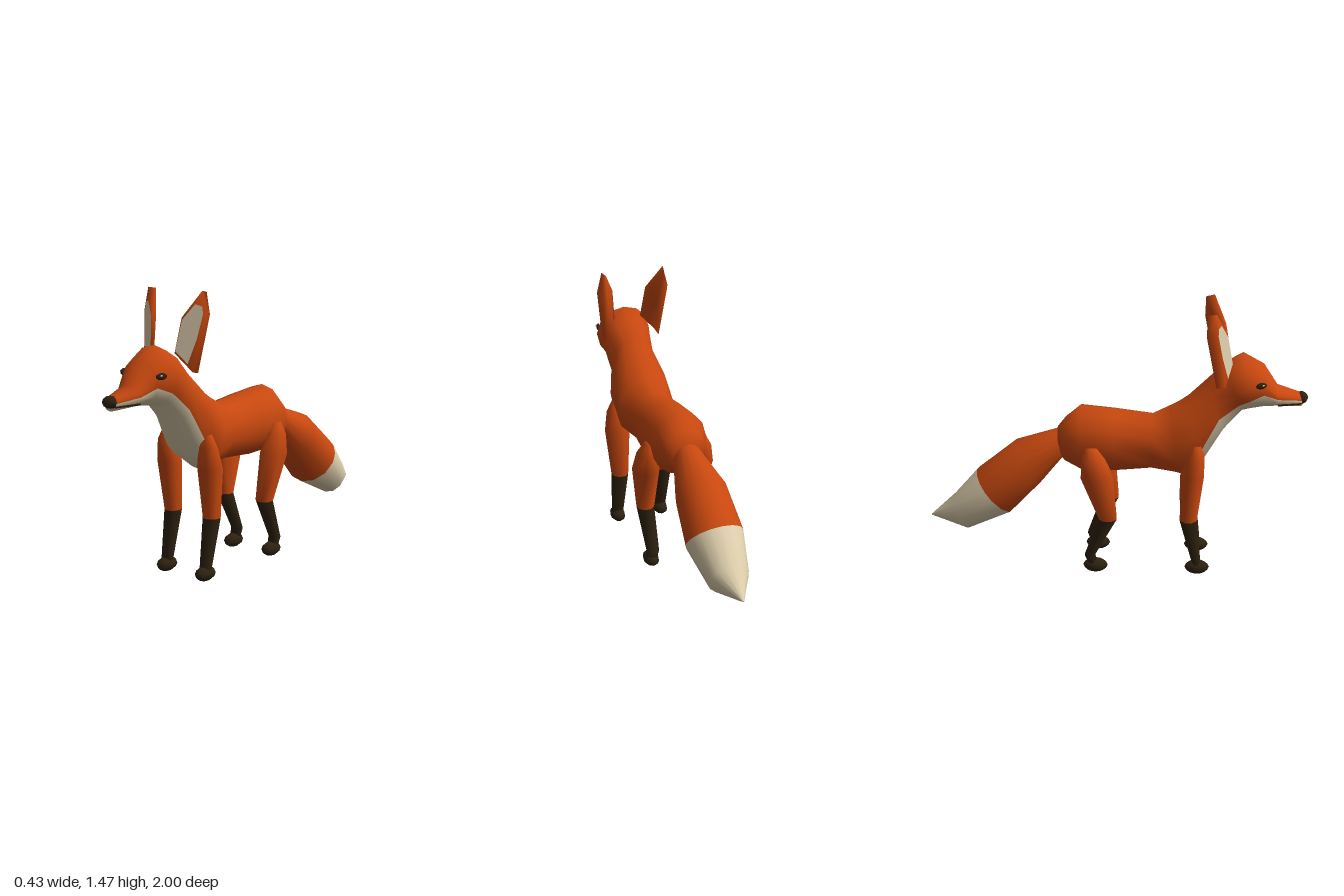
import * as THREE from 'three';

const orange = new THREE.MeshStandardMaterial({ color: 0xc8480f, name: 'orange fur' });
const cream = new THREE.MeshStandardMaterial({ color: 0xdccdab, name: 'cream fur' });
const dark = new THREE.MeshStandardMaterial({ color: 0x2e2210, name: 'dark brown' });
const RAD = Math.PI / 180;

// Skins a list of closed rings; pick(segment, side) returns 0 or 1 for the material
function loft(rings, pick = () => 0) {
  const n = rings[0].length, last = rings.length - 1;
  const pos = rings.flat().flatMap(p => p.toArray());
  const sets = [[], []];
  for (let i = 0; i < last; i++) {
    for (let j = 0; j < n; j++) {
      const k = (j + 1) % n;
      const a = i * n + j, b = i * n + k, c = a + n, d = b + n;
      sets[pick(i, j)].push(a, b, d, a, d, c);
    }
  }
  // end caps
  [0, last].forEach((r, e) => {
    const mid = new THREE.Vector3();
    rings[r].forEach(p => mid.addScaledVector(p, 1 / n));
    const c = pos.length / 3;
    pos.push(...mid.toArray());
    for (let j = 0; j < n; j++) {
      const a = r * n + j, b = r * n + (j + 1) % n;
      sets[pick(e ? last - 1 : 0, j)].push(...(e ? [c, a, b] : [c, b, a]));
    }
  });
  const g = new THREE.BufferGeometry();
  g.setAttribute('position', new THREE.Float32BufferAttribute(pos, 3));
  g.setIndex([...sets[0], ...sets[1]]);
  g.addGroup(0, sets[0].length, 0);
  g.addGroup(sets[0].length, sets[1].length, 1);
  g.computeVertexNormals();
  return g;
}

// Ring whose lower 6 sides end at the split angle, the other 8 lie above it
function spineRing([tz, ty, bz, by, rx, split = -25]) {
  const half = [];
  for (let k = 0; k <= 3; k++) half.push(-90 + (split + 90) * k / 3);
  for (let k = 1; k <= 4; k++) half.push(split + (90 - split) * k / 4);
  const angles = [...half, ...half.slice(1, -1).reverse().map(a => 180 - a)];
  return angles.map(a => {
    const c = Math.cos(a * RAD), s = Math.sin(a * RAD);
    return new THREE.Vector3(rx * c, (ty + by) / 2 + s * (ty - by) / 2, (tz + bz) / 2 + s * (tz - bz) / 2);
  });
}

// Horizontal 8-sided ring for the legs
function legRing([x, y, z, rx, rz]) {
  return Array.from({ length: 8 }, (_, j) => {
    const a = (j + 0.5) * Math.PI / 4;
    return new THREE.Vector3(x + rx * 1.05 * Math.cos(a), y, z - rz * 1.05 * Math.sin(a));
  });
}

function mirrored(geometry) {
  const g = geometry.clone().scale(-1, 1, 1);
  const idx = g.index.array;
  for (let i = 0; i < idx.length; i += 3) [idx[i], idx[i + 1]] = [idx[i + 1], idx[i]];
  return g;
}

function ellipsoid(rx, ry, rz, x, y, z, turn = 0) {
  return new THREE.SphereGeometry(1, 8, 6).scale(rx, ry, rz).rotateY(turn).translate(x, y, z);
}

export function createModel() {
  const model = new THREE.Group();
  model.name = 'fox';
  const add = (name, geometry, material) => {
    const mesh = new THREE.Mesh(geometry, material);
    mesh.name = name;
    model.add(mesh);
  };
  const addPair = (name, geometry, material) => {
    add('left' + name, geometry, material);
    add('right' + name, mirrored(geometry), material);
  };

  // Body, neck and head: top z, y; bottom z, y; half width; edge angle of the bib
  const spine = [
    [-0.30, 0.79, -0.29, 0.64, 0.07],
    [-0.26, 0.84, -0.265, 0.605, 0.11],
    [-0.18, 0.91, -0.18, 0.56, 0.15],
    [0.00, 0.89, 0.00, 0.555, 0.156],
    [0.20, 0.87, 0.20, 0.57, 0.132, -50],
    [0.29, 0.92, 0.35, 0.545, 0.16, -70],
    [0.38, 0.97, 0.47, 0.63, 0.165, -30],
    [0.48, 1.07, 0.57, 0.80, 0.125, -20],
    [0.57, 1.16, 0.66, 0.91, 0.14, -32],
    [0.66, 1.21, 0.69, 0.92, 0.155, -30],
    [0.77, 1.15, 0.76, 0.93, 0.115, -8],
    [0.84, 1.04, 0.84, 0.935, 0.078, 0],
    [0.965, 1.0, 0.965, 0.93, 0.042, 10],
  ];
  const isBib = (i, j) => (i >= 5 && (j < 3 || j >= 11) ? 1 : 0);
  add('body', loft(spine.map(spineRing), isBib), [orange, cream]);

  // Tail, from the tip to the rump
  const tail = [
    [-1.0, 0.258, -0.998, 0.252, 0.004],
    [-0.87, 0.38, -0.79, 0.19, 0.105],
    [-0.74, 0.53, -0.55, 0.30, 0.15],
    [-0.53, 0.70, -0.40, 0.46, 0.135],
    [-0.29, 0.78, -0.28, 0.61, 0.075],
    [-0.22, 0.76, -0.22, 0.66, 0.05],
  ];
  add('tail', loft(tail.map(s => spineRing([...s, 0])), i => (i < 2 ? 1 : 0)), [orange, cream]);

  // Legs, from the ankle up: x, y, z, half width, half depth
  const frontLeg = [
    [0.13, 0.05, 0.447, 0.032, 0.022],
    [0.13, 0.32, 0.395, 0.045, 0.046],
    [0.135, 0.58, 0.412, 0.066, 0.06],
    [0.137, 0.69, 0.428, 0.048, 0.045],
    [0.137, 0.75, 0.43, 0.02, 0.022],
  ];
  const hindLeg = [
    [0.13, 0.04, -0.108, 0.028, 0.024],
    [0.13, 0.10, -0.128, 0.033, 0.027],
    [0.135, 0.32, -0.03, 0.045, 0.047],
    [0.152, 0.57, -0.087, 0.066, 0.085],
    [0.152, 0.67, -0.105, 0.05, 0.062],
    [0.148, 0.73, -0.115, 0.022, 0.03],
  ];
  addPair('FrontLeg', loft(frontLeg.map(legRing), i => (i < 1 ? 1 : 0)), [orange, dark]);
  addPair('HindLeg', loft(hindLeg.map(legRing), i => (i < 2 ? 1 : 0)), [orange, dark]);
  addPair('FrontPaw', ellipsoid(0.042, 0.038, 0.066, 0.13, 0.038, 0.447), dark);
  addPair('HindPaw', ellipsoid(0.042, 0.038, 0.066, 0.13, 0.038, -0.098), dark);

  // Ears: a leaf on a slanted plane with a narrower back
  const earZ = (x, y) => 0.60 - 0.541 * (x - 0.075) - 0.122 * (y - 1.17);
  const earOutline = [[0.075, 1.17], [0.16, 1.08], [0.203, 1.36], [0.175, 1.468], [0.095, 1.34]];
  const earBack = earOutline.map(([x, y]) =>
    new THREE.Vector3(0.145 + (x - 0.145) * 0.65, y - 0.008, earZ(x, y) - 0.045));
  const earFront = earOutline.map(([x, y]) => new THREE.Vector3(x, y, earZ(x, y)));
  addPair('Ear', loft([earBack, earFront]), [orange, orange]);

  // Cream inner ears
  const inner = [[0.08, 1.18], [0.138, 1.12], [0.17, 1.24], [0.189, 1.36], [0.182, 1.395], [0.152, 1.405], [0.1, 1.33]];
  const innerEar = new THREE.ShapeGeometry(new THREE.Shape(inner.map(p => new THREE.Vector2(...p))));
  const ip = innerEar.attributes.position;
  for (let i = 0; i < ip.count; i++) ip.setZ(i, earZ(ip.getX(i), ip.getY(i)) + 0.005);
  innerEar.computeVertexNormals();
  addPair('InnerEar', innerEar, cream);

  // Eyes with a small glint
  addPair('Eye', ellipsoid(0.01, 0.017, 0.03, 0.124, 1.08, 0.747, -0.35), dark);
  addPair('EyeGlint', ellipsoid(0.004, 0.005, 0.006, 0.133, 1.085, 0.757, -0.35), cream);

  // Nose and mouth line
  add('nose', ellipsoid(0.042, 0.031, 0.035, 0, 0.975, 0.965), dark);
  const mouthRing = (z, w) => [[-w, -1], [w, -1], [w, 1], [-w, 1]]
    .map(([x, s]) => new THREE.Vector3(x, 0.955 + s * 0.004, z));
  add('mouth', loft([mouthRing(0.84, 0.076), mouthRing(0.968, 0.041)]), [dark, dark]);

  return model;
}
